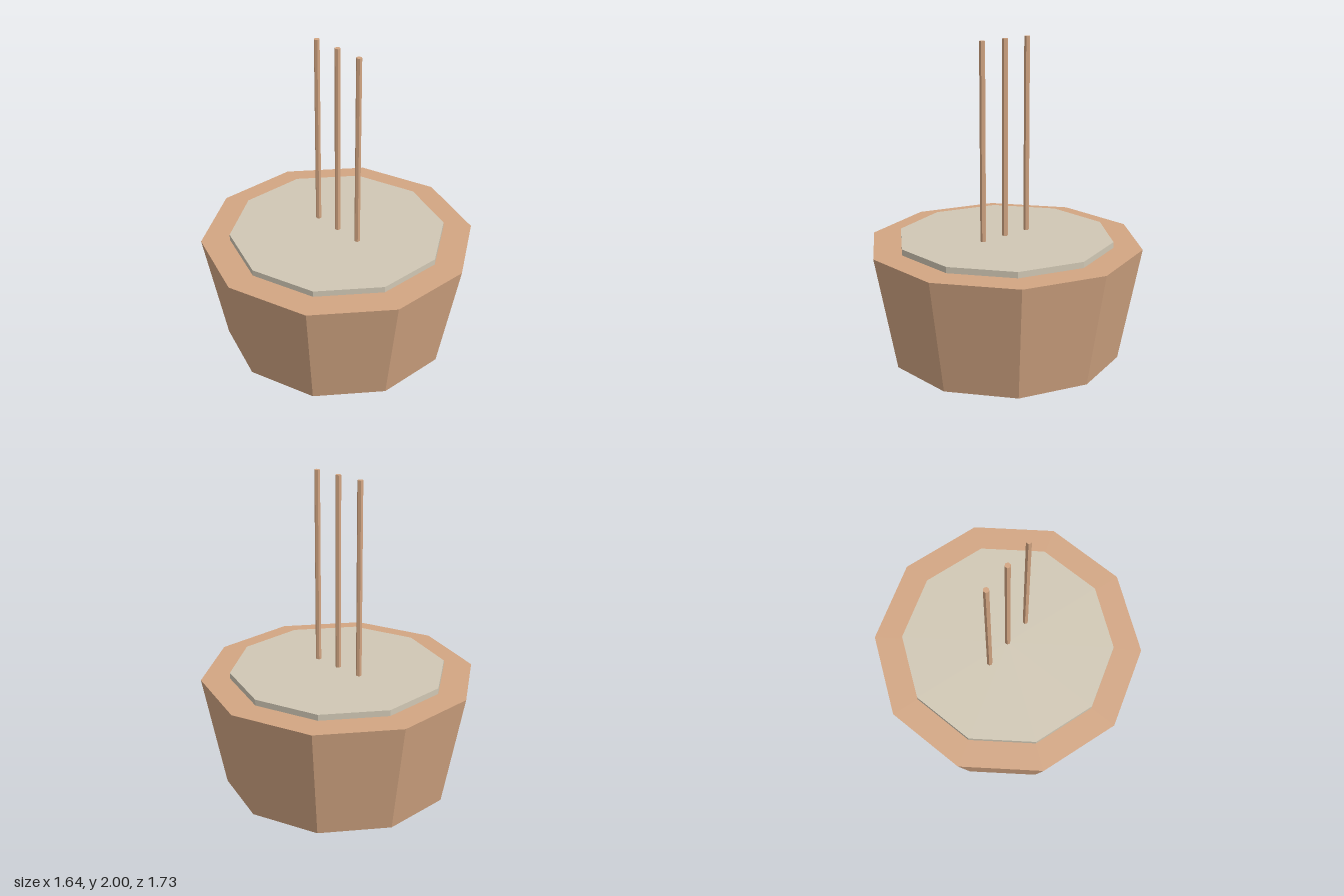
import * as THREE from 'three';

const clay = new THREE.MeshStandardMaterial({ color: 0xd2a582, flatShading: true });
clay.name = 'clay';
const sand = new THREE.MeshStandardMaterial({ color: 0xd0c7b4, flatShading: true });
sand.name = 'sand';

// Upright faceted cylinder spanning y0 to y1
function column(name, material, rTop, rBottom, y0, y1, sides, x = 0) {
  const geometry = new THREE.CylinderGeometry(rTop, rBottom, y1 - y0, sides);
  const mesh = new THREE.Mesh(geometry, material);
  mesh.name = name;
  mesh.position.set(x, (y0 + y1) / 2, 0);
  return mesh;
}

export function createModel() {
  const model = new THREE.Group();
  model.name = 'incenseBurner';

  // Tapered ten-sided bowl and the bed of sand on top
  model.add(column('bowl', clay, 0.864, 0.728, 0, 0.728, 10));
  model.add(column('sandBed', sand, 0.683, 0.683, 0.692, 0.766, 10));

  // Three thin sticks in a row
  ['rightStick', 'middleStick', 'leftStick'].forEach((name, i) => {
    model.add(column(name, clay, 0.018, 0.018, 0.74, 2, 6, (i - 1) * 0.182));
  });

  return model;
}
